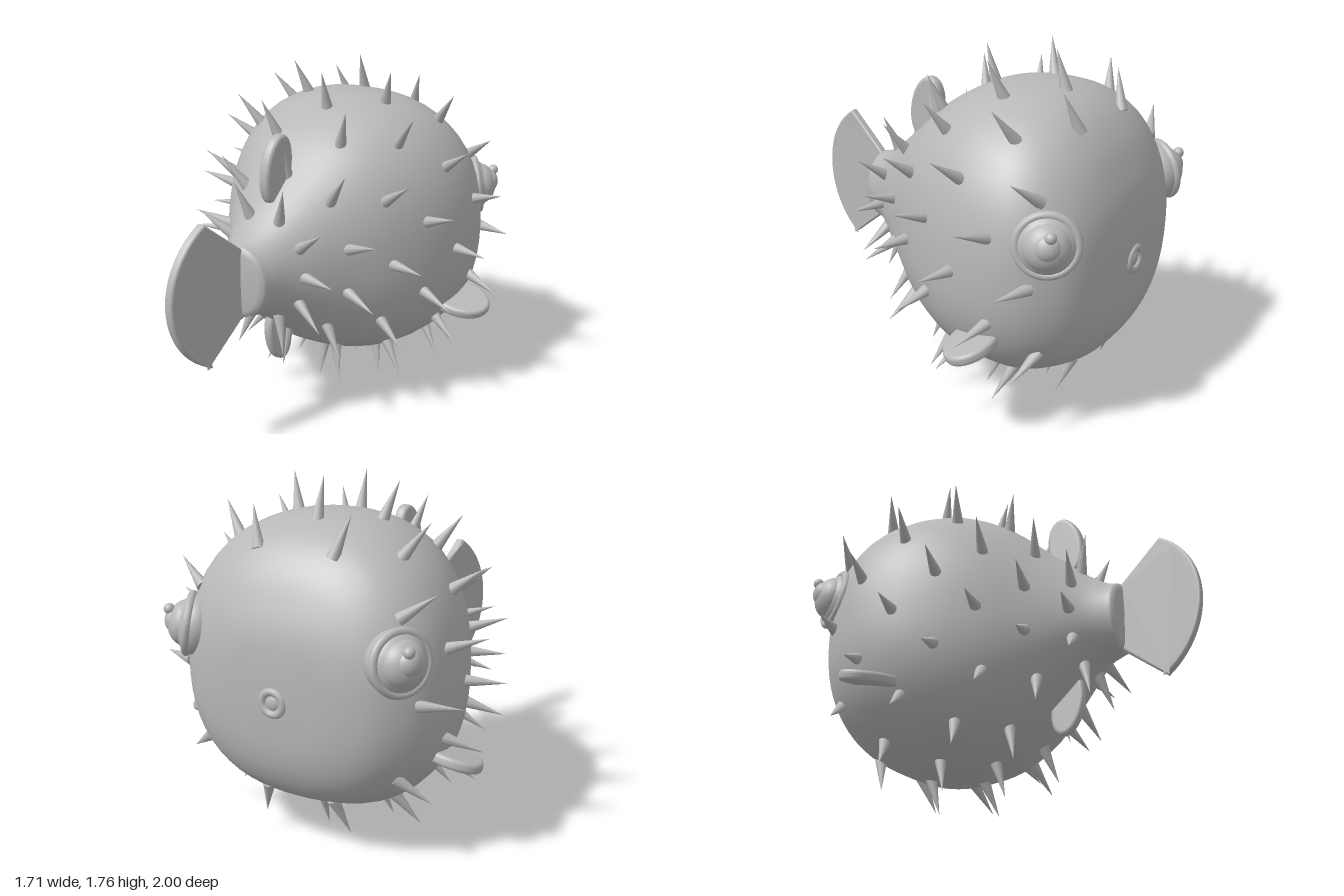
import * as THREE from 'three';

const CY = 0.83; // height of the body axis
const bend = (z) => (z > 0 ? -0.12 * z * z : 0); // sideways sweep of the tail

// Body stations: z, half width, height above axis, depth below axis
const STATIONS = [
  [-0.99, 0, 0, 0], [-0.985, 0.16, 0.16, 0.16], [-0.97, 0.32, 0.28, 0.31],
  [-0.93, 0.46, 0.40, 0.43], [-0.86, 0.56, 0.54, 0.53], [-0.75, 0.645, 0.66, 0.60],
  [-0.6, 0.685, 0.73, 0.655], [-0.4, 0.675, 0.745, 0.66], [-0.2, 0.61, 0.71, 0.63],
  [0, 0.5, 0.60, 0.54], [0.2, 0.355, 0.425, 0.39], [0.4, 0.215, 0.255, 0.23],
  [0.5, 0.165, 0.19, 0.20], [0.56, 0.145, 0.17, 0.19],
];

// Smoothly resampled stations
function makeRows() {
  const curve = (f) => new THREE.CatmullRomCurve3(STATIONS.map(f), false, 'catmullrom', 0.5);
  const size = curve((s) => new THREE.Vector3(s[1], s[2], s[3]));
  const along = curve((s) => new THREE.Vector3(s[0], 0, 0));
  const rows = [];
  for (let i = 0; i <= 52; i++) {
    const p = size.getPoint(i / 52);
    rows.push([along.getPoint(i / 52).x, p.x, p.y, p.z]);
  }
  rows.push([0.57, 0.12, 0.145, 0.16], [0.576, 0, 0, 0]);
  return rows;
}

// Point on a superellipse section at angle a from straight up
function sectionPoint([z, w, top, bottom], a) {
  const s = Math.sin(a), c = Math.cos(a), h = c > 0 ? top : bottom;
  const n = z > 0 ? 2.4 - 0.7 * z : 2.4;
  const r = w < 1e-4 ? 0 : Math.pow(Math.abs(s / w) ** n + Math.abs(c / h) ** n, -1 / n);
  return new THREE.Vector3(r * s + bend(z), CY + r * c, z);
}

function bodyGeometry(rows, seg = 56) {
  const pos = [], index = [];
  rows.forEach((row, i) => {
    for (let j = 0; j < seg; j++) {
      pos.push(...sectionPoint(row, (j / seg) * Math.PI * 2).toArray());
      if (i === rows.length - 1) continue;
      const a = i * seg + j, b = i * seg + ((j + 1) % seg);
      index.push(a, a + seg, b, b, a + seg, b + seg);
    }
  });
  const g = new THREE.BufferGeometry();
  g.setAttribute('position', new THREE.Float32BufferAttribute(pos, 3));
  g.setIndex(index);
  g.computeVertexNormals();
  return g;
}

function rowAt(rows, z) {
  const i = rows.findIndex((r) => r[0] > z);
  const a = rows[i - 1], b = rows[i], t = (z - a[0]) / (b[0] - a[0]);
  return a.map((v, k) => v + (b[k] - v) * t);
}

// Rounded plate from a flat outline, centred on its own thickness
function plate(shape, thick, bevel) {
  const g = new THREE.ExtrudeGeometry(shape, {
    depth: thick - 2 * bevel, bevelThickness: bevel, bevelSize: bevel,
    bevelOffset: -bevel, bevelSegments: 4, curveSegments: 28,
  });
  return g.translate(0, 0, bevel - thick / 2);
}

// Upright plate drawn in (z, y), swept sideways with the tail
function uprightFin(shape, thick, bevel) {
  const g = plate(shape, thick, bevel).rotateY(-Math.PI / 2);
  const p = g.attributes.position;
  for (let i = 0; i < p.count; i++) p.setX(i, p.getX(i) + bend(p.getZ(i)));
  g.computeVertexNormals();
  return g;
}

export function createModel() {
  const model = new THREE.Group();
  model.name = 'pufferFish';
  const grey = new THREE.MeshStandardMaterial({ color: 0xb8b8b8 });
  grey.name = 'grey';
  const add = (name, geometry, parent = model) => {
    const m = new THREE.Mesh(geometry, grey);
    m.name = name;
    parent.add(m);
    return m;
  };

  // Body
  const rows = makeRows();
  add('body', bodyGeometry(rows));

  // Spikes: staggered rings of ten, leaning towards the tail
  const spikes = new THREE.Group();
  spikes.name = 'spikes';
  model.add(spikes);
  const cone = new THREE.ConeGeometry(0.032, 0.21, 10).translate(0, 0.085, 0);
  const up = new THREE.Vector3(0, 1, 0);
  [-0.77, -0.58, -0.385, -0.19, -0.01, 0.18, 0.365].forEach((z, ring) => {
    const row = rowAt(rows, z);
    for (let k = 0; k < 10; k++) {
      const a = ((k + (ring % 2 ? 0 : 0.5)) * Math.PI) / 5;
      const spike = add('spike', cone, spikes);
      spike.position.copy(sectionPoint(row, a));
      const dir = new THREE.Vector3(Math.sin(a), Math.cos(a), 0.3).normalize();
      spike.quaternion.setFromUnitVectors(up, dir);
    }
  });

  // Tail fin: a fan with a round rear edge
  const tail = new THREE.Shape();
  tail.moveTo(0.52, 0.66);
  tail.lineTo(0.56, 0.64);
  tail.lineTo(0.79, 0.455);
  tail.absarc(0.578, 0.82, 0.422, -1.045, 1.045, false);
  tail.lineTo(0.56, 1.0);
  tail.lineTo(0.52, 0.98);
  tail.closePath();
  add('tailFin', uprightFin(tail, 0.045, 0.012));

  // Dorsal and ventral fins
  const dorsal = new THREE.Shape();
  dorsal.absellipse(0.245, 1.31, 0.1, 0.175, 0, Math.PI * 2, false, 0.22);
  const ventral = new THREE.Shape();
  ventral.absellipse(0.24, 0.43, 0.09, 0.16, 0, Math.PI * 2, false, -0.22);
  add('dorsalFin', uprightFin(dorsal, 0.06, 0.02)).position.x = -0.02;
  add('ventralFin', uprightFin(ventral, 0.05, 0.018)).position.x = -0.02;

  // Mouth: lips around a small bead
  const lips = add('lips', new THREE.TorusGeometry(0.055, 0.02, 12, 32));
  lips.position.set(0, 0.795, -0.982);
  const mouth = add('mouth', new THREE.SphereGeometry(0.034, 20, 12));
  mouth.scale.z = 0.4;
  mouth.position.set(0, 0.795, -0.984);

  for (const side of [1, -1]) {
    const label = side > 0 ? 'left' : 'right';

    // Eye: socket, rim, eyeball, pupil and glint stacked along the gaze
    const eye = new THREE.Group();
    eye.name = label + 'Eye';
    eye.position.set(0.57 * side, 1.04, -0.835);
    eye.quaternion.setFromUnitVectors(
      new THREE.Vector3(0, 0, 1), new THREE.Vector3(0.85 * side, 0.14, -0.5).normalize());
    model.add(eye);
    const ball = (name, r, x, y, z, flat = 1) => {
      const m = add(name, new THREE.SphereGeometry(r, 28, 18), eye);
      m.position.set(x, y, z);
      m.scale.z = flat;
    };
    ball('eyeSocket', 0.15, 0, 0, -0.04, 0.75);
    add('eyeRim', new THREE.TorusGeometry(0.138, 0.021, 12, 40), eye);
    ball('eyeball', 0.112, 0, 0, 0.015, 0.8);
    ball('pupil', 0.062, 0, 0.01, 0.07, 0.8);
    ball('glint', 0.027, 0, 0.065, 0.1);

    // Pectoral fin: a drooping rounded paddle
    const paddle = new THREE.Shape();
    paddle.absellipse(0, 0, 0.17, 0.13, 0, Math.PI * 2, false, 0);
    const fin = add(label + 'PectoralFin', plate(paddle, 0.055, 0.02).rotateX(-Math.PI / 2));
    fin.position.set(0.65 * side, 0.495, -0.505);
    fin.rotation.set(0.24, 0, -0.2 * side);
  }
  return model;
}
